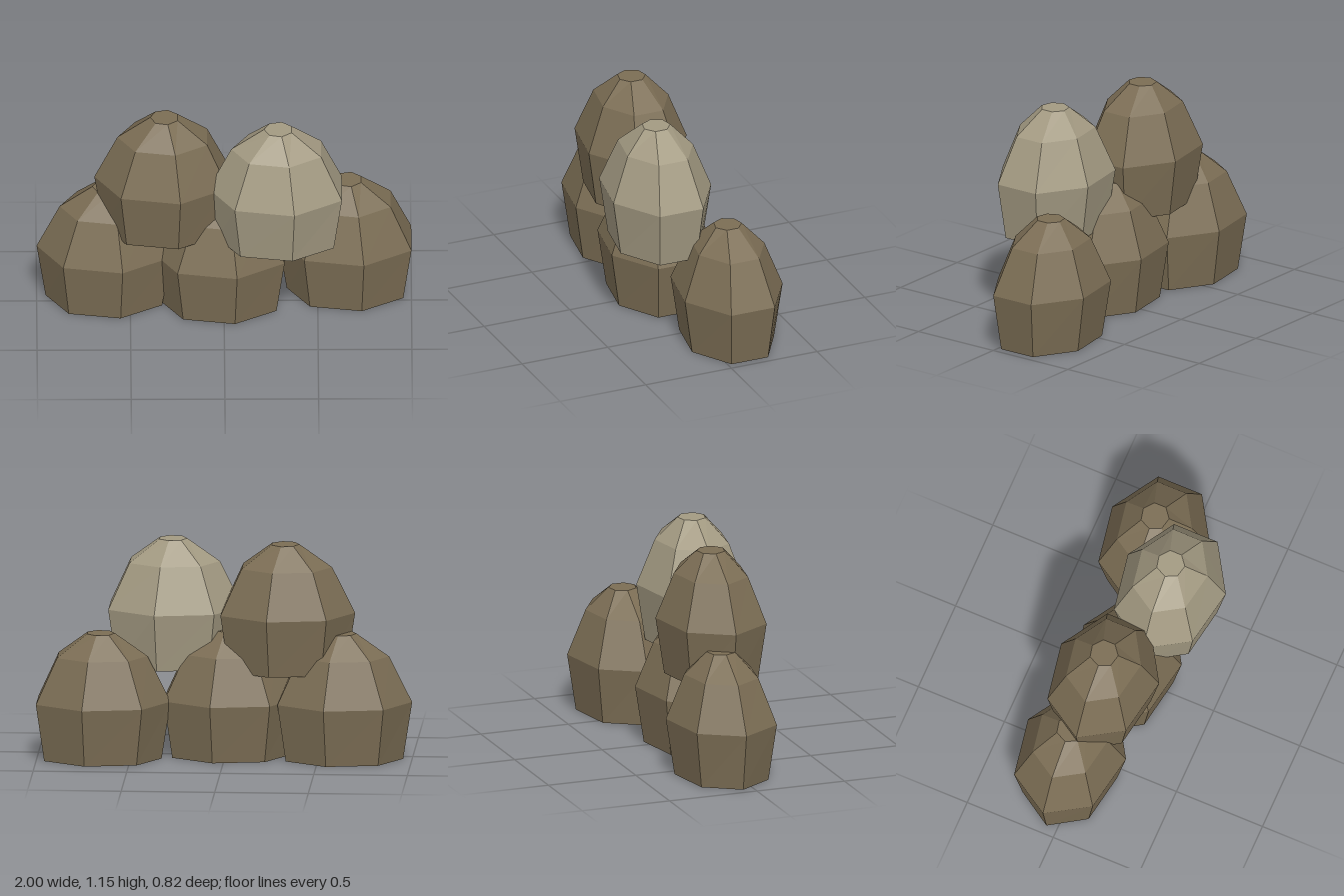
import * as THREE from 'three';

// Seven-sided oval sack: [height, x radius, z radius] from base to top
const RINGS = [
  [0, 0.327, 0.245],
  [0.31, 0.375, 0.292],
  [0.557, 0.252, 0.195],
  [0.68, 0.077, 0.077],
];

function sackGeometry() {
  // One corner points to -x
  const unit = new THREE.CylinderGeometry(1, 1, 3, 7, 3, false, -Math.PI / 2);
  const pos = unit.attributes.position;
  for (let i = 0; i < pos.count; i++) {
    const [y, rx, rz] = RINGS[Math.round(pos.getY(i) + 1.5)];
    pos.setXYZ(i, pos.getX(i) * rx, y, pos.getZ(i) * rz);
  }
  const geometry = unit.toNonIndexed();
  geometry.computeVertexNormals();
  return geometry;
}

export function createModel() {
  const group = new THREE.Group();
  group.name = 'sackPile';

  const brown = new THREE.MeshStandardMaterial({ color: 0x7b6d54, flatShading: true });
  brown.name = 'brown burlap';
  const pale = new THREE.MeshStandardMaterial({ color: 0xa39a82, flatShading: true });
  pale.name = 'pale burlap';

  const geometry = sackGeometry();
  const addSack = (name, material, x, y, z) => {
    const sack = new THREE.Mesh(geometry, material);
    sack.name = name;
    sack.position.set(x, y, z);
    group.add(sack);
  };

  // Bottom row
  addSack('lowerRightSack', brown, -0.625, 0, -0.06);
  addSack('lowerMiddleSack', brown, -0.015, 0, 0);
  addSack('lowerLeftSack', brown, 0.662, 0, -0.127);

  // Top row
  addSack('upperRightSack', brown, -0.317, 0.47, 0);
  addSack('upperLeftSack', pale, 0.29, 0.47, 0.125);

  return group;
}
